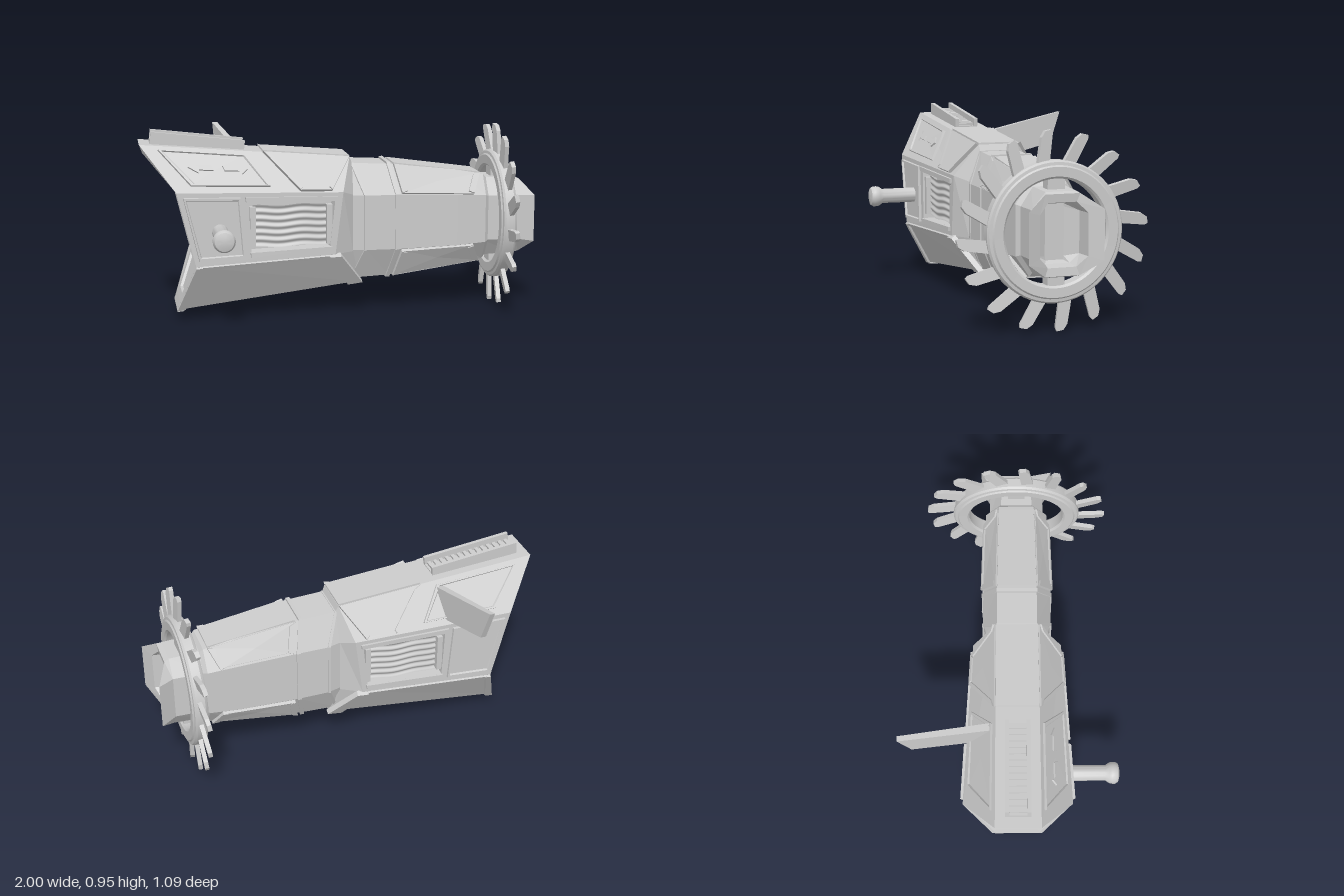
import * as THREE from 'three';
import { toCreasedNormals } from 'three/addons/utils/BufferGeometryUtils.js';

const V = (x, y, z) => new THREE.Vector3(x, y, z);
const mat = new THREE.MeshStandardMaterial({ color: 0xcccccc, side: THREE.DoubleSide });
const AXIS_Y = 0.475;

export function createModel() {
  const model = new THREE.Group();
  const root = new THREE.Group();
  root.name = 'gauntlet';
  root.position.z = 0.035;
  model.add(root);

  const add = (name, geo, parent = root) => {
    const m = new THREE.Mesh(geo, mat);
    m.name = name;
    parent.add(m);
    return m;
  };
  const centre = r => r.reduce((s, p) => s.add(p), V(0, 0, 0)).divideScalar(r.length);

  // Faceted skin through rings of points, with optional caps and skipped faces
  function loft(rings, { start = false, end = false, skip = () => false } = {}) {
    const out = [], n = rings[0].length;
    const tri = (...p) => p.forEach(q => out.push(q.x, q.y, q.z));
    for (let k = 0; k < rings.length - 1; k++) for (let i = 0; i < n; i++) {
      if (skip(k, i)) continue;
      const j = (i + 1) % n, a = rings[k], b = rings[k + 1];
      tri(a[i], a[j], b[j]);
      tri(a[i], b[j], b[i]);
    }
    const cap = (r, flip) => {
      const c = centre(r);
      for (let i = 0; i < n; i++) {
        const p = r[i], q = r[(i + 1) % n];
        flip ? tri(c, q, p) : tri(c, p, q);
      }
    };
    if (start) cap(rings[0], true);
    if (end) cap(rings[rings.length - 1], false);
    const g = new THREE.BufferGeometry();
    g.setAttribute('position', new THREE.Float32BufferAttribute(out, 3));
    g.computeVertexNormals();
    return g;
  }

  // Outline ordered to face away from the axis, with its normal and centre
  function orient(pts) {
    const n = V(0, 0, 0), c = centre(pts);
    pts.forEach((p, i) => n.add(p.clone().cross(pts[(i + 1) % pts.length])));
    n.normalize();
    const flip = n.y * (c.y - AXIS_Y) + n.z * c.z < 0;
    return { pts: flip ? [...pts].reverse() : pts, n: flip ? n.negate() : n, c };
  }

  // Raised plate; a rim width w leaves a sunken middle
  function plate(name, points, h = 0.012, w = 0) {
    const { pts, n, c } = orient(points);
    const at = (d, inset) => pts.map(p => p.clone().lerp(c, Math.min(0.5, inset / p.distanceTo(c))).addScaledVector(n, d));
    const rings = [at(-0.01, 0), at(h, 0.003)];
    if (w) rings.push(at(h, w), at(h * 0.3, w + 0.006));
    return add(name, loft(rings, { end: true }));
  }

  // Plate with a raised border along its listed edges only
  function edgedPlate(name, pts, edges, h) {
    plate(name, pts, h * 0.5);
    const c = centre(pts);
    const inner = pts.map(p => p.clone().lerp(c, 0.16));
    for (const i of edges) {
      const j = (i + 1) % pts.length;
      plate(name + 'Border', [pts[i], pts[j], inner[j], inner[i]], h);
    }
  }

  // Eight-sided section from four half points, running round the x axis
  const section = half => [...half.map(p => V(...p)), ...[...half].reverse().map(([x, y, z]) => V(x, y, -z))];
  // Regular section; the top and bottom edges are shifted by dx
  const oct = (x, hy, hz, a, b, dx = 0) => section([
    [x + dx, AXIS_Y + hy, b], [x, AXIS_Y + a, hz], [x, AXIS_Y - a, hz], [x + dx, AXIS_Y - hy, b]]);
  // Point on face i between two sections: u along x, v across
  const on = (A, B, i) => ([u, v]) => {
    const j = (i + 1) % 8, flip = i > 3 && i < 7;
    const t = flip ? 1 - v : v;
    return A[i].clone().lerp(A[j], t).lerp(B[i].clone().lerp(B[j], t), u);
  };
  const rect = (u0, u1, v0, v1) => [[u0, v0], [u1, v0], [u1, v1], [u0, v1]];

  // Rear housing, hollow at the back
  const rear = section([[-1, 0.89, 0.11], [-0.83, 0.67, 0.268], [-0.74, 0.3, 0.268], [-0.83, 0.05, 0.12]]);
  const front = section([[0.05, 0.805, 0.105], [0, 0.645, 0.222], [-0.04, 0.33, 0.222], [0.08, 0.16, 0.11]]);
  const neck = section([[0.065, 0.77, 0.1], [0.06, 0.62, 0.16], [0.06, 0.33, 0.16], [0.1, 0.185, 0.1]]);
  const shrink = (r, s, dx) => r.map(p => V(p.x + dx, AXIS_Y + (p.y - AXIS_Y) * s, p.z * s));
  const floor = shrink(rear, 0.72, 0).map(p => V(-0.53, p.y, p.z));
  const inner = shrink(rear, 0.9, 0.015);
  add('rearHousing', loft([floor, inner, rear, front, neck],
    { start: true, skip: (k, i) => k === 2 && (i === 1 || i === 5) }));

  // Framed lower end panel with a ledge above it
  const endPanel = [inner[5], inner[4], inner[3], inner[2]], endCentre = centre(endPanel);
  const endInset = endPanel.map(p => p.clone().lerp(endCentre, 0.3));
  add('lowerEndPanel', loft([endPanel, endInset, endInset.map(p => V(p.x + 0.015, p.y, p.z))], { end: true }));
  plate('innerLedge', [inner[2], inner[5], floor[5], floor[2]], 0.005);

  for (const s of [1, -1]) {
    const up = on(rear, front, s > 0 ? 0 : 6), side = on(rear, front, s > 0 ? 1 : 5), low = on(rear, front, s > 0 ? 2 : 4);
    // Side wall with a recessed window
    const wall = orient(rect(0, 1, 0, 1).map(side));
    const hole = orient([[0.42, 0.13], [0.955, 0.13], [0.955, 0.86], [0.4, 0.86]].map(side)).pts;
    add('sideWall', loft([wall.pts, hole, hole.map(p => p.clone().addScaledVector(wall.n, -0.08))], { end: true }));
    plate('windowFrameTop', rect(0.4, 0.97, 0.06, 0.13).map(side), 0.012);
    plate('windowFrameBottom', rect(0.39, 0.97, 0.86, 0.93).map(side), 0.012);

    // Pleated filler in the window
    const pleat = new THREE.PlaneGeometry(0.38, 0.21, 24, 48);
    const p = pleat.attributes.position;
    for (let i = 0; i < p.count; i++) {
      const x = p.getX(i), y = p.getY(i);
      p.setXYZ(i, x, y + 0.004 * Math.sin(x * 28), 0.0045 * Math.cos(y * Math.PI * 2 / 0.035) + 0.012 * Math.cos(x * 8));
    }
    pleat.computeVertexNormals();
    const filler = add('pleatedFiller', pleat);
    filler.position.set(-0.265, 0.485, s * 0.2);
    filler.rotation.y = s > 0 ? 0.06 : Math.PI - 0.06;
    for (const [x, z] of [[-0.455, 0.22], [-0.07, 0.2]]) {
      const post = add('windowPost', new THREE.BoxGeometry(0.028, 0.2, 0.04));
      post.position.set(x, 0.485, s * z);
    }

    // Framed panels on the side and upper slope
    plate('sidePanel', [[0.03, 0.06], [0.375, 0.06], [0.355, 0.93], [0.03, 0.93]].map(side), 0.014, 0.018);
    plate('upperPanel', [[0.07, 0.1], [0.5, 0.1], [0.57, 0.86], [0.11, 0.86]].map(up), 0.012, 0.018);
    edgedPlate('shoulderPlate', [[0.58, 0], [1, 0], [0.93, 0.97], [0.74, 0.97]].map(up), [1, 2, 3], 0.018);

    // Trim on the lower shell
    plate('shellFrontTrim', rect(0.955, 1.04, 0, 1).map(low), 0.018);
    plate('shellRearTrim', rect(0, 0.045, 0, 1).map(low), 0.012);
    plate('shellTopTrim', rect(0.03, 0.96, 0, 0.06).map(low), 0.01);
  }
  plate('shoulderPlateTop', rect(0.58, 1, 0, 1).map(on(rear, front, 7)), 0.009);
  plate('shellRearTrim', rect(0, 0.04, 0, 1).map(on(rear, front, 3)), 0.012);
  plate('shellFrontTrim', rect(0.96, 1.02, 0, 1).map(on(rear, front, 3)), 0.012);

  // Two arrow marks on the front upper panel
  const slope = on(rear, front, 0);
  const arrow = [[-1, 0], [-0.4, 1], [-0.4, 0.45], [1, 0.45], [1, -0.45], [-0.4, -0.45], [-0.4, -1]];
  for (const [u, d] of [[0.225, 1], [0.41, -1]])
    plate('arrowMark', arrow.map(([a, b]) => slope([u + a * d * 0.065, 0.46 + b * 0.13])), 0.012);

  // Slatted rail on top
  const rail = new THREE.Group();
  rail.name = 'topRail';
  rail.position.set(-0.71, 0.88, 0);
  rail.rotation.z = -0.115;
  root.add(rail);
  add('railBase', new THREE.BoxGeometry(0.47, 0.04, 0.12), rail).position.y = -0.02;
  for (const s of [1, -1])
    add('railSide', new THREE.BoxGeometry(0.47, 0.06, 0.02), rail).position.set(0, 0.01, s * 0.052);
  for (let i = 0; i < 14; i++)
    add('railSlat', new THREE.BoxGeometry(0.018, 0.03, 0.09), rail).position.set(-0.215 + i * 0.033, -0.003, 0);

  // Handle peg on the front side
  const pegProfile = [[0.04, 0.25], [0.039, 0.44], [0.052, 0.46], [0.055, 0.475], [0.055, 0.49], [0.046, 0.504], [0.025, 0.51], [0, 0.511]];
  const peg = new THREE.LatheGeometry(pegProfile.map(q => new THREE.Vector2(...q)), 24);
  peg.rotateX(Math.PI / 2);
  add('handlePeg', toCreasedNormals(peg, 0.7)).position.set(-0.62, 0.47, 0);

  // Fin on the back side, thicker at its root
  const fin = d => [[0.82, -0.115, 1.6], [0.68, -0.235, 1.5], [0.74, -0.515, 1.2], [0.91, -0.575, 1.1]]
    .map(([y, z, t]) => V(-0.46 + z * 0.193 + d * t, y, z));
  add('fin', loft([fin(-0.012), fin(0.012)], { start: true, end: true }));

  // Forearm tube with chevron bands
  const t0 = oct(0.13, 0.297, 0.172, 0.14, 0.1, -0.06), t1 = oct(0.29, 0.288, 0.172, 0.14, 0.1, -0.035);
  const t2 = oct(0.6, 0.25, 0.166, 0.132, 0.095), t3 = oct(0.75, 0.222, 0.158, 0.122, 0.09);
  add('forearmTube', loft([oct(-0.02, 0.29, 0.15, 0.14, 0.095), oct(0.05, 0.297, 0.15, 0.14, 0.1), t0, t1, t2, t3,
    oct(0.77, 0.2, 0.138, 0.115, 0.08)], { start: true, end: true }));
  const band = (x, hy, hz, dx, w) => add('chevronBand', loft([
    oct(x, hy - 0.02, hz - 0.02, 0.135, 0.095, dx), oct(x, hy, hz, 0.142, 0.103, dx),
    oct(x + w, hy, hz, 0.142, 0.103, dx), oct(x + w, hy - 0.02, hz - 0.02, 0.135, 0.095, dx)]));
  band(0.115, 0.3, 0.177, -0.06, 0.015);
  band(0.275, 0.299, 0.18, -0.035, 0.02);
  for (const i of [0, 2, 3, 4, 6, 7]) {
    const f = on(t1, t3, i);
    // v = 0 is the upper edge of every sloping face
    if (i === 3 || i === 7) plate('forearmPlateMiddle', rect(0.04, 0.96, 0, 1).map(f), 0.009);
    else if (i === 2 || i === 4) edgedPlate('forearmPlate', [[0.04, 0.02], [0.86, 0.02], [0.96, 1], [0.04, 1]].map(f), [0, 1, 3], 0.018);
    else edgedPlate('forearmPlate', [[0.04, 0], [0.96, 0], [0.86, 0.98], [0.04, 0.98]].map(f), [1, 2, 3], 0.018);
  }

  // Muzzle with flared sides and a deep funnel mouth
  const lip = (hy, hz, a, b, xt, xs) => section([
    [xt, AXIS_Y + hy, b], [xs, AXIS_Y + a, hz], [xs, AXIS_Y - a, hz], [xt, AXIS_Y - hy, b]]);
  add('muzzle', loft([oct(0.74, 0.205, 0.14, 0.115, 0.08), oct(0.92, 0.198, 0.135, 0.115, 0.075),
    lip(0.19, 0.184, 0.12, 0.085, 0.945, 1), lip(0.15, 0.118, 0.1, 0.07, 0.94, 0.965),
    oct(0.88, 0.142, 0.108, 0.1, 0.06), oct(0.84, 0.132, 0.047, 0.115, 0.043)], { end: true }));

  // Toothed ring around the muzzle
  const saw = new THREE.Group();
  saw.name = 'toothedRing';
  saw.position.set(0.833, AXIS_Y, 0);
  saw.rotation.y = Math.PI / 2;
  root.add(saw);
  const ringProfile = [[0.25, -0.03], [0.26, -0.04], [0.305, -0.041], [0.312, -0.034], [0.326, -0.032], [0.334, -0.022],
    [0.334, 0.022], [0.326, 0.032], [0.312, 0.034], [0.305, 0.041], [0.26, 0.04], [0.25, 0.03], [0.25, -0.03]];
  const hoop = new THREE.LatheGeometry(ringProfile.map(q => new THREE.Vector2(...q)), 64);
  hoop.rotateX(Math.PI / 2);
  add('ring', toCreasedNormals(hoop, 0.6), saw);
  const toothShape = new THREE.Shape([[-0.077, 0.31], [-0.016, 0.31], [0.006, 0.455], [0, 0.473], [-0.032, 0.468], [-0.052, 0.44]]
    .map(q => new THREE.Vector2(...q)));
  const tooth = new THREE.ExtrudeGeometry(toothShape, { depth: 0.022, bevelEnabled: false });
  tooth.translate(0.035, 0, -0.011);
  tooth.rotateY(0.15);
  tooth.translate(-0.035, 0, 0);
  for (let i = 0; i < 16; i++)
    add('tooth', tooth, saw).rotation.z = THREE.MathUtils.degToRad(2 - 22.5 * i);
  for (const s of [1, -1])
    add('ringKey', new THREE.BoxGeometry(0.085, 0.07, 0.06), saw).position.y = s * 0.235;

  return model;
}
